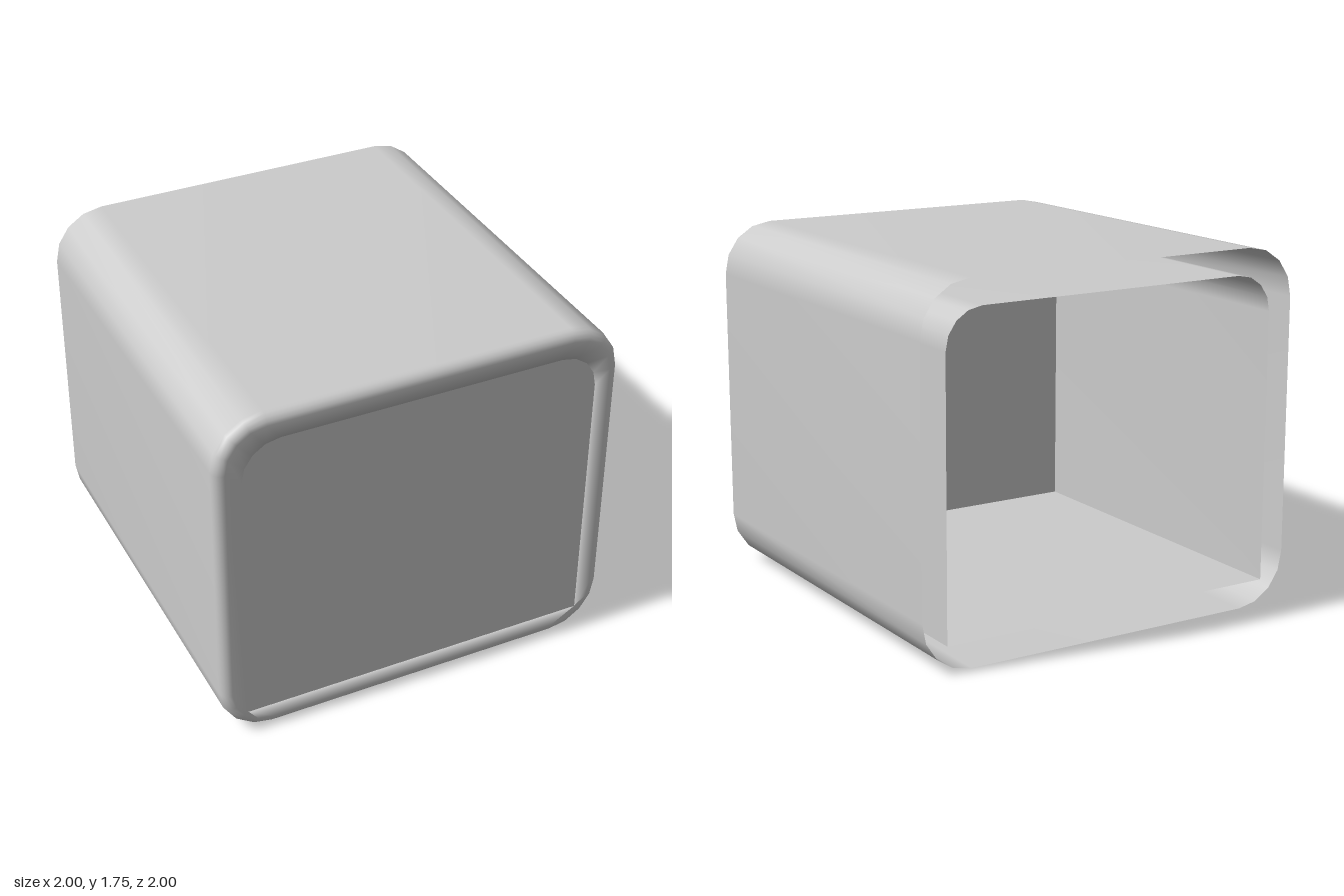
import * as THREE from 'three';

const CORNER_STEPS = 4;
const RIM = 0.125;   // width of the front rim, and gap between casing and sleeve
const FILLET = 0.05; // rounding of the casing's front edge
const HEIGHT = 1.75;

// Counter-clockwise rounded rectangle, inset from the outer size, with own radii at top and bottom
function roundedLoop(inset, topRadius, bottomRadius) {
  const w = 1 - inset, low = inset, high = HEIGHT - inset;
  const corners = [
    [1, low, bottomRadius, -90], [1, high, topRadius, 0],
    [-1, high, topRadius, 90], [-1, low, bottomRadius, 180],
  ];
  const points = [];
  for (const [side, y, r, start] of corners) {
    const cx = side * (w - r), cy = y === low ? low + r : high - r;
    for (let i = 0; i <= CORNER_STEPS; i++) {
      const a = THREE.MathUtils.degToRad(start + (90 * i) / CORNER_STEPS);
      points.push(new THREE.Vector2(cx + r * Math.cos(a), cy + r * Math.sin(a)));
    }
  }
  return points;
}

// Smooth skin over a row of closed loops, each { points, z }
function loft(sections) {
  const n = sections[0].points.length;
  const positions = [], index = [];
  for (const { points, z } of sections) for (const p of points) positions.push(p.x, p.y, z);
  for (let i = 0; i < sections.length - 1; i++) {
    for (let j = 0; j < n; j++) {
      const k = (j + 1) % n;
      const a = i * n + j, b = i * n + k, c = b + n, d = a + n;
      index.push(a, b, c, a, c, d);
    }
  }
  const geometry = new THREE.BufferGeometry();
  geometry.setAttribute('position', new THREE.Float32BufferAttribute(positions, 3));
  geometry.setIndex(index);
  geometry.computeVertexNormals();
  return geometry;
}

export function createModel() {
  const group = new THREE.Group();
  const material = new THREE.MeshStandardMaterial({ color: 0xcccccc, side: THREE.DoubleSide });
  const add = (name, geometry, z = 0) => {
    const mesh = new THREE.Mesh(geometry, material);
    mesh.name = name;
    mesh.position.z = z;
    group.add(mesh);
  };

  // Thin outer casing, open at the back, with a small fillet at the front
  const sections = [{ points: roundedLoop(0, 0.25, 0.25), z: -1 }];
  const filletSteps = 4;
  for (let i = 0; i <= filletSteps; i++) {
    const a = (Math.PI / 2) * (i / filletSteps);
    const inset = FILLET * (1 - Math.cos(a));
    sections.push({
      points: roundedLoop(inset, 0.25 - inset, 0.25 - inset),
      z: 1 - FILLET + FILLET * Math.sin(a),
    });
  }

  // Flat rim, then the inner sleeve back to the open end: round at the top, square at the bottom
  const inner = roundedLoop(RIM, 0.185, 0);
  sections.push({ points: inner, z: 1 }, { points: inner, z: -1 });
  add('casingAndSleeve', loft(sections));

  // Flush front panel and the inner wall behind it
  const panel = new THREE.ShapeGeometry(new THREE.Shape(inner));
  add('frontPanel', panel, 1);
  add('innerWall', panel, 0.8);

  return group;
}
